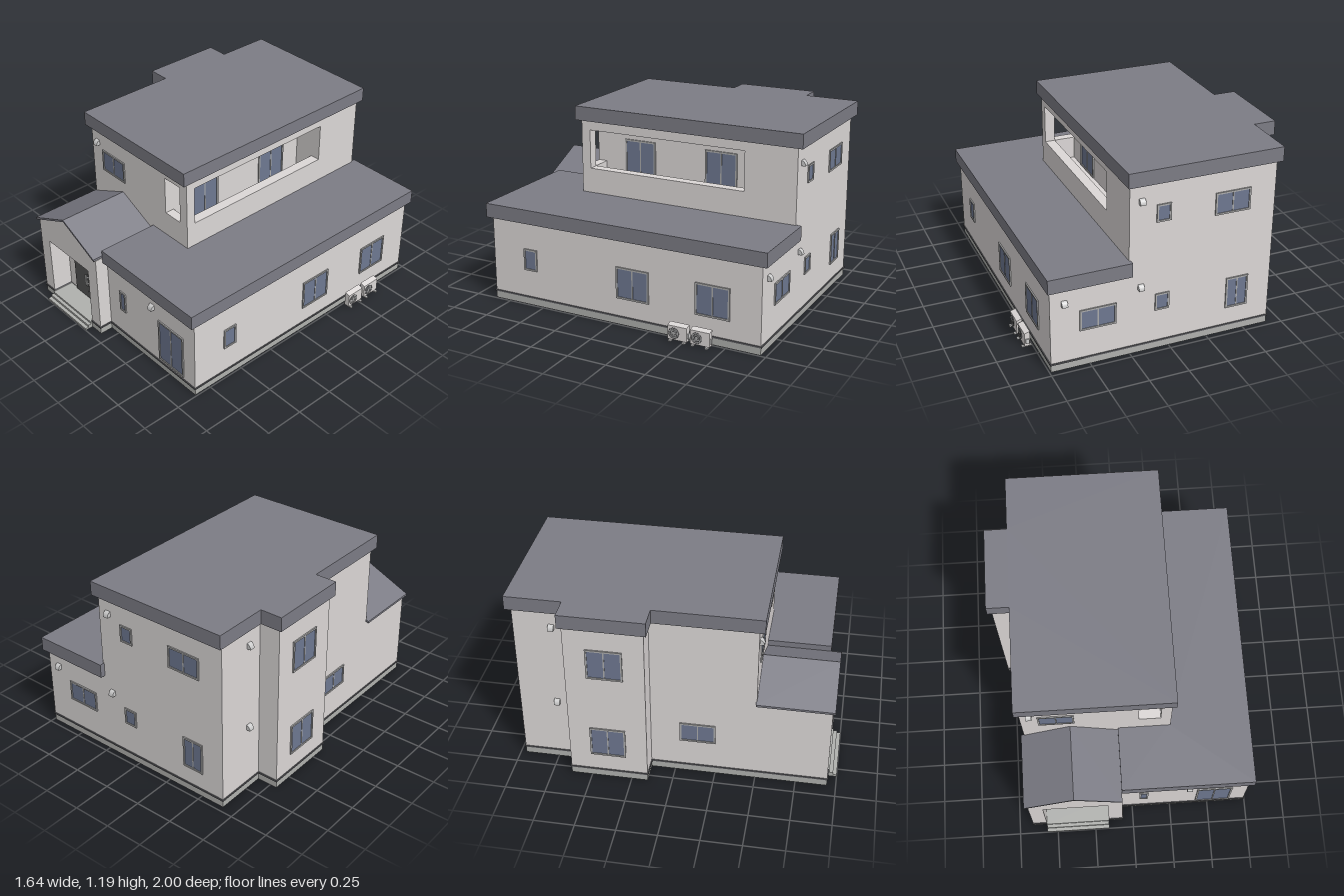
import * as THREE from 'three';

const mat = (color) => new THREE.MeshStandardMaterial({ color, flatShading: true });

export function createModel() {
  const house = new THREE.Group();
  house.name = 'house';
  const M = {
    wall: mat(0xdcd8d7), roof: mat(0x7c7c85), base: mat(0xb0b1ae), trim: mat(0x606064),
    frame: mat(0xacacac), glass: mat(0x6e7891), door: mat(0x555555), metal: mat(0xcccccc),
  };

  const add = (name, geo, m, parent = house) => {
    const mesh = new THREE.Mesh(geo, m);
    mesh.name = name;
    parent.add(mesh);
    return mesh;
  };
  // Box given by its limits on each axis
  const box = (name, m, [x0, x1], [y0, y1], [z0, z1], parent) => {
    const g = new THREE.BoxGeometry(x1 - x0, y1 - y0, z1 - z0);
    g.translate((x0 + x1) / 2, (y0 + y1) / 2, (z0 + z1) / 2);
    return add(name, g, m, parent);
  };
  // Floor plan (x, z) raised from y0 to y1
  const slab = (name, m, plan, y0, y1) => {
    const s = new THREE.Shape(plan.map(([x, z]) => new THREE.Vector2(x, -z)));
    const g = new THREE.ExtrudeGeometry(s, { depth: y1 - y0, bevelEnabled: false });
    g.rotateX(-Math.PI / 2).translate(0, y0, 0);
    return add(name, g, m);
  };
  // Elevation (x, y) carried from z0 to z1
  const prism = (name, m, outline, z0, z1, parent) => {
    const s = new THREE.Shape(outline.map(([x, y]) => new THREE.Vector2(x, y)));
    const g = new THREE.ExtrudeGeometry(s, { depth: z1 - z0, bevelEnabled: false });
    return add(name, g.translate(0, 0, z0), m, parent);
  };

  // Foundation and drip trim, the plan grown by d; the notch is the entrance
  const plan = (d) => [
    [-0.66 - d, -0.965 - d], [0.74 + d, -0.965 - d], [0.74 + d, 0.86 + d], [-0.07 + d, 0.86 + d],
    [-0.07 + d, 0.945 + d], [-0.16, 0.945 + d], [-0.16, 0.81], [-0.57, 0.81], [-0.57, 0.945 + d],
    [-0.66 - d, 0.945 + d], [-0.66 - d, -0.15 + d], [-0.795 - d, -0.15 + d],
    [-0.795 - d, -0.63 - d], [-0.66 - d, -0.63 - d],
  ];
  slab('foundation', M.base, plan(0), 0, 0.046);
  slab('foundationTrim', M.trim, plan(0.006), 0.046, 0.056);

  // Main walls
  box('mainWalls', M.wall, [-0.66, 0.06], [0.05, 1.12], [-0.965, 0.495]);
  box('rearUpperWalls', M.wall, [0.06, 0.26], [0.05, 1.12], [-0.965, -0.63]);
  box('bayWalls', M.wall, [-0.795, -0.66], [0.05, 1.12], [-0.63, -0.15]);
  slab('groundFloorWalls', M.wall, [
    [0.06, -0.965], [0.74, -0.965], [0.74, 0.86], [-0.07, 0.86], [-0.07, 0.495], [0.06, 0.495],
  ], 0.05, 0.56);

  // Recessed balcony
  box('balconyFloor', M.wall, [0.06, 0.2], [0.55, 0.645], [-0.63, 0.435]);
  box('balconySideParapet', M.wall, [0.195, 0.26], [0.55, 0.79], [-0.63, 0.435]);
  box('balconySideLintel', M.wall, [0.195, 0.26], [1.04, 1.12], [-0.63, 0.435]);
  box('balconyFrontParapet', M.wall, [0.06, 0.195], [0.55, 0.79], [0.435, 0.495]);
  box('balconyFrontLintel', M.wall, [0.06, 0.195], [1.04, 1.12], [0.435, 0.495]);
  box('balconyCornerPost', M.wall, [0.195, 0.26], [0.55, 1.12], [0.435, 0.495]);

  // Flat roofs
  slab('upperRoof', M.roof, [
    [-0.68, -1], [0.28, -1], [0.28, 0.53], [-0.68, 0.53],
    [-0.68, -0.13], [-0.82, -0.13], [-0.82, -0.65], [-0.68, -0.65],
  ], 1.1, 1.19);
  slab('lowerRoof', M.roof, [
    [0.25, -0.998], [0.76, -0.998], [0.76, 0.895], [-0.07, 0.895], [-0.07, 0.49], [0.25, 0.49],
  ], 0.54, 0.63);

  // Gabled porch with a recessed entrance
  const gable = [[-0.07, 0.575], [-0.365, 0.715], [-0.66, 0.585]];
  prism('porchBody', M.wall, [[-0.66, 0.05], [-0.07, 0.05], ...gable], 0.49, 0.81);
  prism('porchFront', M.wall, [
    [-0.66, 0.05], [-0.57, 0.05], [-0.57, 0.45], [-0.16, 0.45], [-0.16, 0.05], [-0.07, 0.05], ...gable,
  ], 0.81, 0.945);
  prism('porchRoof', M.roof, [
    [-0.68, 0.572], [-0.365, 0.716], [-0.07, 0.578], [-0.07, 0.592], [-0.365, 0.73], [-0.68, 0.586],
  ], 0.49, 0.96);
  box('porchFloor', M.base, [-0.57, -0.16], [0, 0.042], [0.8, 0.955]);
  box('upperStep', M.base, [-0.57, -0.16], [0, 0.029], [0.95, 0.977]);
  box('lowerStep', M.base, [-0.57, -0.16], [0, 0.014], [0.95, 1]);

  // Double front door
  for (const s of [-1, 1]) {
    const cx = -0.365 + s * 0.0675;
    box('doorLeaf', M.door, [cx - 0.067, cx + 0.067], [0.042, 0.37], [0.8, 0.818]);
    const hx = -0.365 + s * 0.008;
    box('doorHandle', M.metal, [hx - 0.004, hx + 0.004], [0.15, 0.23], [0.826, 0.832]);
    for (const y of [0.165, 0.215])
      box('handleMount', M.metal, [hx - 0.003, hx + 0.003], [y - 0.004, y + 0.004], [0.816, 0.828]);
  }

  // Wall fittings are made facing +z, then turned to their wall
  const FRONT = 0, RIGHT = Math.PI / 2, BACK = Math.PI, LEFT = -Math.PI / 2;
  const fitting = (name, x, y, z, turn) => {
    const g = new THREE.Group();
    g.name = name;
    g.position.set(x, y, z);
    g.rotation.y = turn;
    house.add(g);
    return g;
  };
  const addWindow = (x, z, turn, w, y0, y1, panes = 2) => {
    const g = fitting('window', x, y0, z, turn);
    const h = y1 - y0, a = w / 2, t = 0.011;
    box('glass', M.glass, [-a + t, a - t], [t, h - t], [-0.005, 0.003], g);
    for (const s of [-1, 1]) {
      const c = s * (a - t / 2);
      box('frameSide', M.frame, [c - t / 2, c + t / 2], [0, h], [-0.005, 0.008], g);
    }
    for (const y of [0, h - t])
      box('frameRail', M.frame, [-a + t, a - t], [y, y + t], [-0.005, 0.008], g);
    if (panes > 1) box('mullion', M.frame, [-0.004, 0.004], [t, h - t], [-0.005, 0.006], g);
  };

  // Front windows
  addWindow(-0.445, 0.495, FRONT, 0.22, 0.81, 0.957);
  addWindow(0.073, 0.86, FRONT, 0.056, 0.23, 0.375, 1);
  addWindow(0.528, 0.86, FRONT, 0.225, 0.075, 0.375);
  // Right-hand side and balcony windows
  addWindow(0.74, 0.587, RIGHT, 0.095, 0.23, 0.37, 1);
  addWindow(0.74, -0.135, RIGHT, 0.22, 0.17, 0.37);
  addWindow(0.74, -0.66, RIGHT, 0.22, 0.17, 0.37);
  addWindow(0.06, 0.182, RIGHT, 0.218, 0.65, 0.955);
  addWindow(0.06, -0.387, RIGHT, 0.218, 0.65, 0.955);
  // Back windows
  addWindow(0.45, -0.965, BACK, 0.225, 0.24, 0.375);
  addWindow(0.05, -0.965, BACK, 0.09, 0.265, 0.375, 1);
  addWindow(-0.44, -0.965, BACK, 0.145, 0.17, 0.375);
  addWindow(0.05, -0.965, BACK, 0.09, 0.845, 0.955, 1);
  addWindow(-0.385, -0.965, BACK, 0.225, 0.815, 0.957);
  // Left-hand side windows
  addWindow(-0.795, -0.39, LEFT, 0.22, 0.75, 0.955);
  addWindow(-0.795, -0.39, LEFT, 0.22, 0.17, 0.375);
  addWindow(-0.66, 0.14, LEFT, 0.22, 0.24, 0.375);

  // Quarter-round vent hoods
  const hood = new THREE.Shape();
  hood.moveTo(0, 0);
  hood.lineTo(0.026, 0);
  hood.absellipse(0, 0, 0.026, 0.034, 0, Math.PI / 2, false);
  const hoodGeo = new THREE.ExtrudeGeometry(hood, { depth: 0.035, bevelEnabled: false, curveSegments: 8 });
  hoodGeo.rotateY(-Math.PI / 2).translate(0.0175, -0.017, 0);
  for (const [x, y, z, turn] of [
    [-0.602, 0.995, 0.495, FRONT], [0.362, 0.445, 0.86, FRONT],
    [0.655, 0.445, -0.965, BACK], [0.187, 0.445, -0.965, BACK], [0.187, 0.995, -0.965, BACK],
    [-0.66, 0.445, -0.73, LEFT], [-0.66, 0.995, -0.73, LEFT],
  ]) add('hood', hoodGeo, M.metal, fitting('ventHood', x, y, z, turn));

  // Outdoor air-conditioning units
  for (const z of [-0.465, -0.612]) {
    const g = fitting('outdoorUnit', 0, 0, z, 0);
    prism('unitCase', M.wall, [[0.768, 0.01], [0.802, 0.01], [0.802, 0.097], [0.768, 0.108]], -0.062, 0.062, g);
    for (const s of [-0.045, 0.045])
      box('unitFoot', M.metal, [0.755, 0.817], [0, 0.01], [s - 0.008, s + 0.008], g);
    const fan = add('fanDisc', new THREE.CylinderGeometry(0.033, 0.033, 0.004, 24), M.frame, g);
    fan.rotation.z = Math.PI / 2;
    fan.position.set(0.802, 0.052, 0.022);
    for (const r of [0.012, 0.022, 0.033]) {
      const ring = add('fanGrille', new THREE.TorusGeometry(r, 0.0015, 6, 24), M.trim, g);
      ring.rotation.y = Math.PI / 2;
      ring.position.set(0.804, 0.052, 0.022);
    }
    box('pipeCover', M.metal, [0.775, 0.795], [0.03, 0.06], [-0.07, -0.06], g);
  }

  return house;
}
